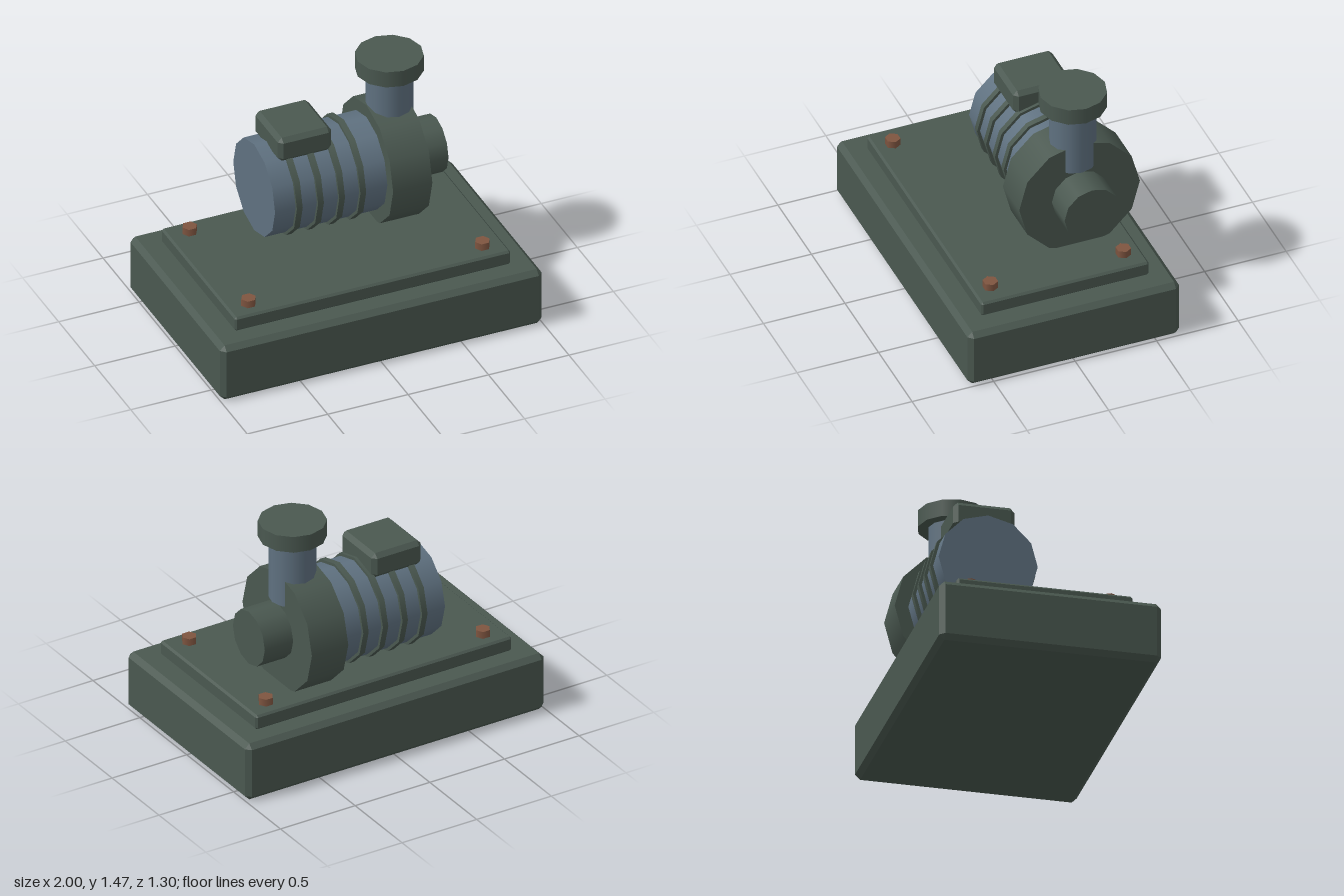
import * as THREE from 'three';
import { ConvexGeometry } from 'three/addons/geometries/ConvexGeometry.js';

export function createModel() {
  const model = new THREE.Group();
  model.name = 'pump';

  const material = (name, color) => {
    const m = new THREE.MeshStandardMaterial({ color });
    m.name = name;
    return m;
  };
  const green = material('greyGreenPaint', 0x4a5850);
  const blue = material('blueGreySteel', 0x5f7180);
  const rust = material('rustyBolt', 0x7f5540);

  const add = (name, geometry, mat, x, y, z) => {
    const mesh = new THREE.Mesh(geometry, mat);
    mesh.name = name;
    mesh.position.set(x, y, z);
    model.add(mesh);
    return mesh;
  };

  // Box with every edge and corner chamfered by c
  const chamferBox = (w, h, d, c) => {
    const points = [];
    for (const sx of [-1, 1]) for (const sy of [-1, 1]) for (const sz of [-1, 1]) {
      for (let axis = 0; axis < 3; axis++) {
        const inset = [c, c, c];
        inset[axis] = 0;
        points.push(new THREE.Vector3(
          sx * (w / 2 - inset[0]), sy * (h / 2 - inset[1]), sz * (d / 2 - inset[2])));
      }
    }
    return new ConvexGeometry(points);
  };

  // Twelve-sided drum lying along x, from x0 to x1
  const axisY = 0.787, axisZ = -0.22;
  const drum = (name, radius, x0, x1, mat) => {
    const geometry = new THREE.CylinderGeometry(radius, radius, x1 - x0, 12).rotateZ(Math.PI / 2);
    return add(name, geometry, mat, (x0 + x1) / 2, axisY, axisZ);
  };

  // Twelve-sided upright drum, from y0 to y1
  const upright = (name, radius, y0, y1, mat) =>
    add(name, new THREE.CylinderGeometry(radius, radius, y1 - y0, 12), mat, 0.43, (y0 + y1) / 2, axisZ);

  // Plinth and mounting plate
  add('base', chamferBox(2, 0.365, 1.298, 0.03), green, 0, 0.1825, 0);
  add('mountingPlate', chamferBox(1.714, 0.092, 1.03, 0.012), green, 0, 0.409, 0);

  // Hexagonal bolts at the plate corners
  for (const x of [-0.727, 0.727]) for (const z of [-0.408, 0.408]) {
    const bolt = new THREE.CylinderGeometry(0.045, 0.045, 0.05, 6).rotateY(Math.PI / 2);
    add('bolt', bolt, rust, x, 0.474, z);
  }

  // Motor with cooling fins and terminal box
  drum('motorBody', 0.29, -0.41, 0.3, blue);
  for (let i = 0; i < 4; i++) {
    const x = -0.264 + i * 0.1315;
    drum('coolingFin', 0.308, x - 0.018, x + 0.018, green);
  }
  add('terminalBox', chamferBox(0.332, 0.156, 0.358, 0.026), green, -0.167, 1.108, axisZ);

  // Pump casing, inlet, outlet pipe and flange
  drum('pumpCasing', 0.37, 0.288, 0.532, green);
  drum('inlet', 0.17, 0.52, 0.722, green);
  upright('outletPipe', 0.137, 0.974, 1.38, blue);
  upright('outletFlange', 0.197, 1.366, 1.468, green);

  return model;
}
